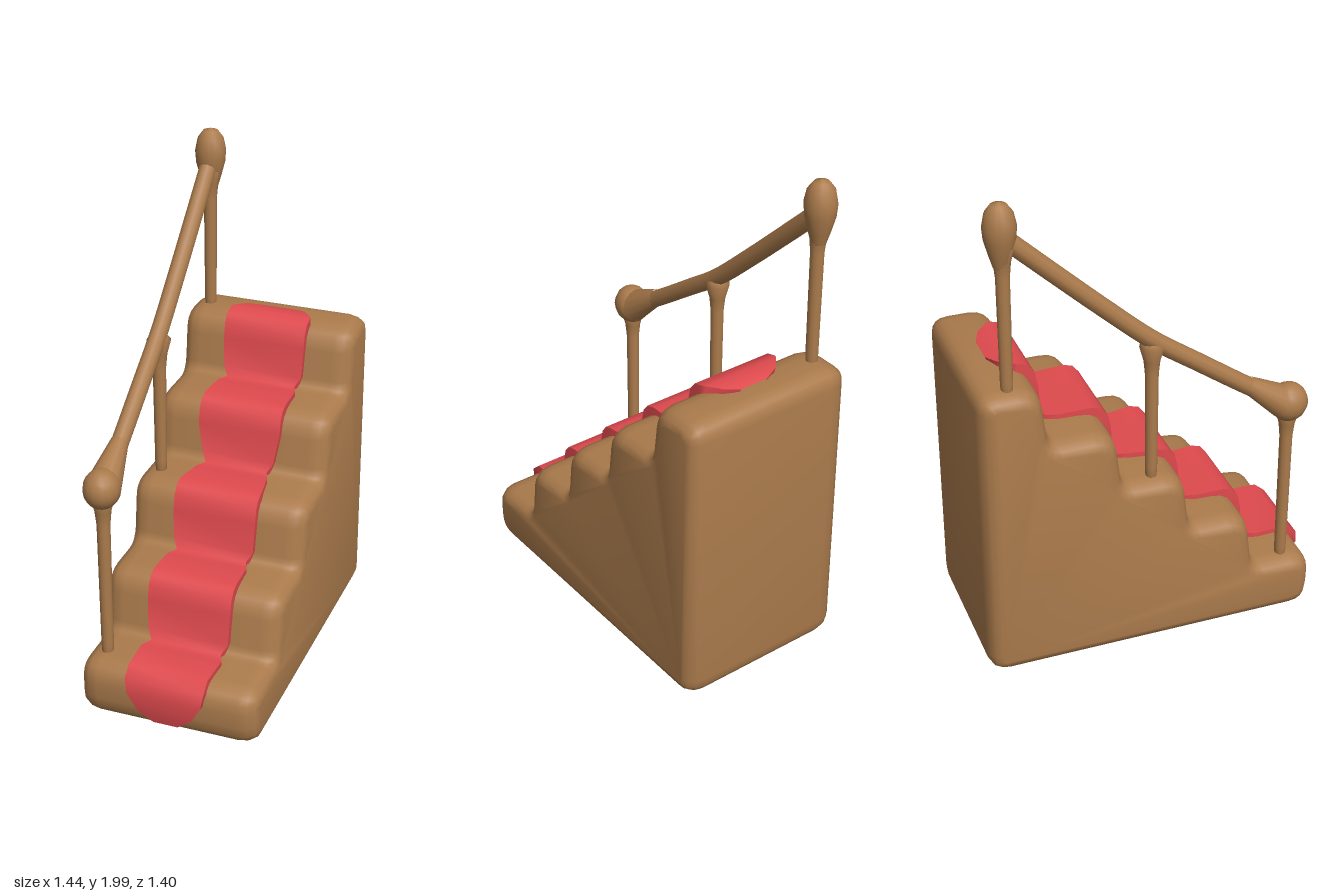
import * as THREE from 'three';
import { toCreasedNormals } from 'three/addons/utils/BufferGeometryUtils.js';

const wood = new THREE.MeshStandardMaterial({ color: 0xab7b4c });
wood.name = 'brown wood';
const cloth = new THREE.MeshStandardMaterial({ color: 0xdf4a4e, side: THREE.DoubleSide });
cloth.name = 'red cloth';

const risers = [-0.68, -0.415, -0.14, 0.138, 0.425];
const treads = [0.25, 0.505, 0.758, 1.008, 1.258];
const railZ = -0.285;

function add(parent, name, geometry, material) {
  const mesh = new THREE.Mesh(geometry, material);
  mesh.name = name;
  parent.add(mesh);
  return mesh;
}

function lathe(points) {
  return new THREE.LatheGeometry(points.map((p) => new THREE.Vector2(...p)), 14);
}

// Closed shape with every corner softened; corners are [x, y, radius]
function softShape(corners) {
  const shape = new THREE.Shape();
  const n = corners.length;
  corners.forEach(([x, y, r], i) => {
    const p = new THREE.Vector2(x, y);
    const toward = (c) => new THREE.Vector2(c[0], c[1]).sub(p).setLength(r).add(p);
    const a = toward(corners[(i + n - 1) % n]);
    const b = toward(corners[(i + 1) % n]);
    if (i === 0) shape.moveTo(a.x, a.y);
    else shape.lineTo(a.x, a.y);
    shape.quadraticCurveTo(x, y, b.x, b.y);
  });
  shape.closePath();
  return shape;
}

// Solid stair block: side profile extruded across the width
function stairGeometry() {
  const corners = [[-0.675, 0.008, 0.09], [0.685, 0.008, 0.08], [0.685, 1.258, 0.07]];
  for (let i = 4; i >= 0; i--) {
    corners.push([risers[i] + (i ? 0.02 : 0), treads[i], 0.09]);
    if (i) corners.push([risers[i] - 0.01, treads[i - 1], 0.04]);
  }
  const thickness = 0.075, size = 0.05;
  const geometry = new THREE.ExtrudeGeometry(softShape(corners), {
    depth: 0.72 - 2 * thickness, curveSegments: 4, bevelEnabled: true,
    bevelThickness: thickness, bevelSize: size, bevelOffset: -size, bevelSegments: 3,
  });
  geometry.translate(0, 0, -0.36 + thickness);
  return toCreasedNormals(geometry, 0.7);
}

// Runner: cross-sections [x, y, half width] swept up the steps
function runnerGeometry() {
  const path = [[-0.685, 0.05, 0.05], [-0.698, 0.1, 0.11], [-0.703, 0.17, 0.15], [-0.695, 0.23, 0.16], [-0.65, 0.27, 0.16]];
  for (let i = 1; i < 5; i++) {
    const x = risers[i], low = treads[i - 1], high = treads[i];
    const w = i === 3 ? 0.15 : 0.165;
    path.push([x - 0.1, low + 0.02, w], [x - 0.05, low + 0.015, w - 0.02], [x - 0.028, low + 0.05, w],
      [x - 0.018, high - 0.08, 0.17], [x - 0.005, high - 0.02, 0.17], [x + 0.02, high + 0.012, 0.17], [x + 0.06, high + 0.024, 0.17]);
  }
  path.push([0.5, 1.285, 0.165], [0.55, 1.28, 0.12], [0.575, 1.27, 0.06]);
  const positions = [], index = [];
  path.forEach(([x, y, w], i) => {
    const a = path[Math.max(i - 1, 0)], b = path[Math.min(i + 1, path.length - 1)];
    const t = new THREE.Vector2(b[0] - a[0], b[1] - a[1]).setLength(0.04);
    const ix = x + t.y, iy = y - t.x;
    positions.push(ix, iy, -w, x, y, -w, x, y, w, ix, iy, w);
    if (i === 0) return;
    for (let k = 0; k < 3; k++) {
      const p = (i - 1) * 4 + k, q = i * 4 + k;
      index.push(p, p + 1, q, p + 1, q + 1, q);
    }
  });
  const geometry = new THREE.BufferGeometry();
  geometry.setAttribute('position', new THREE.Float32BufferAttribute(positions, 3));
  geometry.setIndex(index);
  return toCreasedNormals(geometry, 1.2);
}

export function createModel() {
  const model = new THREE.Group();
  model.name = 'staircase';
  const stairs = new THREE.Group();
  stairs.name = 'stairsWithRailing';
  stairs.rotation.y = 0.736;
  model.add(stairs);

  add(stairs, 'stairBlock', stairGeometry(), wood);
  add(stairs, 'carpetRunner', runnerGeometry(), cloth);

  const railing = new THREE.Group();
  railing.name = 'railing';
  railing.position.z = railZ;
  stairs.add(railing);

  // Posts, flaring where they meet the rail
  for (const [x, bottom, top] of [[-0.565, 0.2, 0.95], [0, 0.72, 1.345], [0.56, 1.2, 1.85]]) {
    const post = add(railing, 'post', lathe([[0.001, bottom], [0.02, bottom], [0.024, bottom + 0.08],
      [0.026, top - 0.14], [0.032, top - 0.08], [0.048, top - 0.02], [0.03, top], [0.001, top]]), wood);
    post.position.x = x;
  }

  // Handrail: two nearly straight runs
  const curve = new THREE.CatmullRomCurve3([[-0.565, 0.955], [-0.38, 1.08], [-0.19, 1.215], [0, 1.352], [0.19, 1.522], [0.375, 1.695], [0.56, 1.87]]
    .map(([x, y]) => new THREE.Vector3(x, y, 0)));
  add(railing, 'handrail', new THREE.TubeGeometry(curve, 24, 0.035, 10), wood);

  // Lower knob, with a tapered collar leading into the rail
  const knob = add(railing, 'lowerKnob', new THREE.SphereGeometry(1, 14, 10), wood);
  knob.scale.set(0.078, 0.08, 0.072);
  knob.position.set(-0.567, 0.965, 0);
  const collar = add(railing, 'lowerCollar', new THREE.CylinderGeometry(0.034, 0.068, 0.19, 12, 1, true), wood);
  collar.position.set(-0.47, 1.022, 0);
  collar.rotation.z = -0.96;

  // Upper knob, tapering down into its post
  const finial = add(railing, 'upperKnob', lathe([[0.027, 1.75], [0.042, 1.8], [0.058, 1.86], [0.062, 1.91],
    [0.052, 1.96], [0.03, 1.99], [0.001, 2.0]]), wood);
  finial.position.x = 0.565;
  return model;
}
